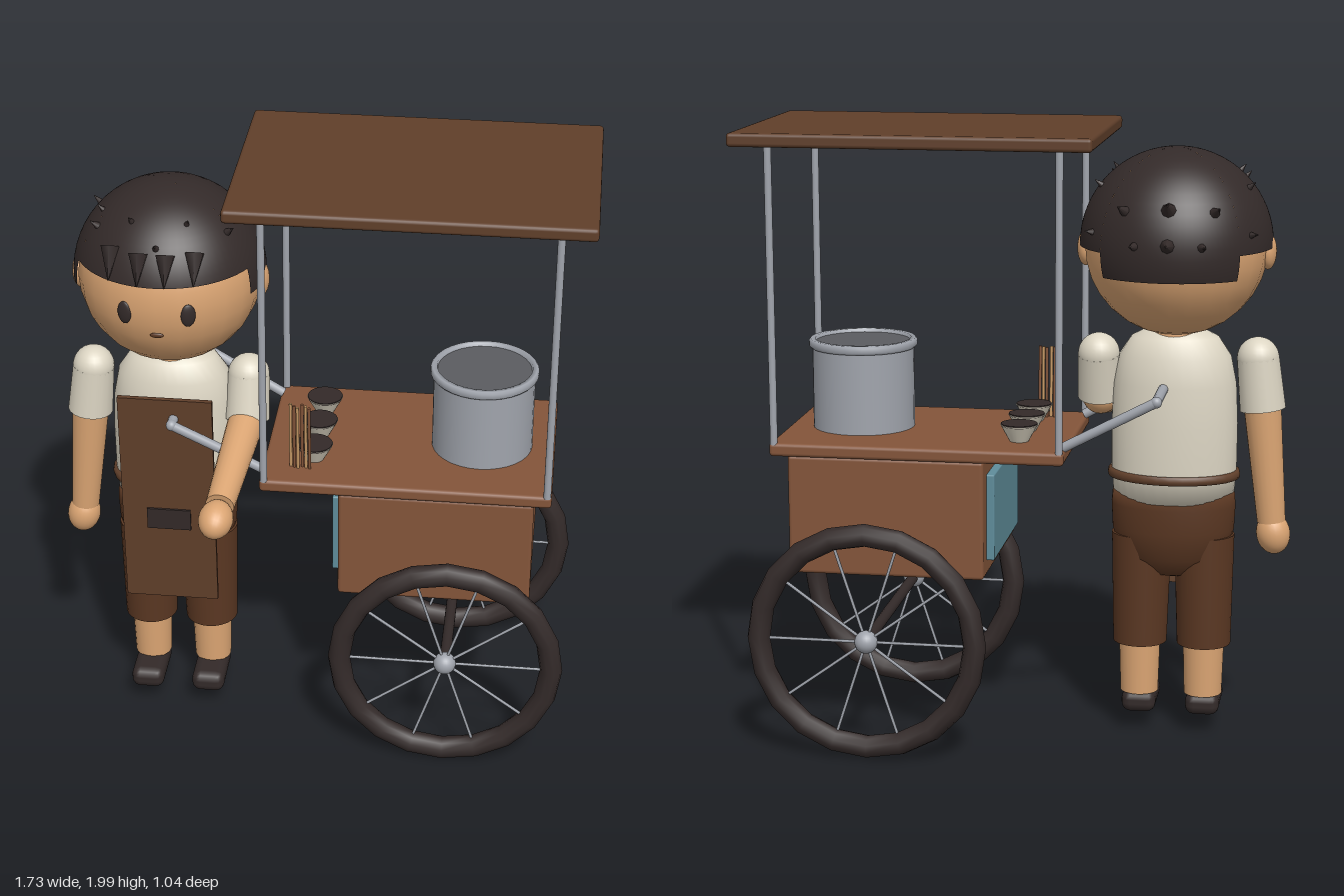
import * as THREE from 'three';
import { RoundedBoxGeometry } from 'three/addons/geometries/RoundedBoxGeometry.js';

const mat = (name, color, side = THREE.FrontSide) =>
  Object.assign(new THREE.MeshStandardMaterial({ color, side }), { name });
const V = (x, y, z) => new THREE.Vector3(x, y, z);

export function createModel() {
  const root = new THREE.Group();
  root.name = 'streetFoodCart';
  const M = {
    skin: mat('skin', 0xdba573),
    cream: mat('creamCloth', 0xdcd5c3),
    black: mat('softBlack', 0x332a29, THREE.DoubleSide),
    trousers: mat('darkBrownCloth', 0x5a3722),
    dark: mat('darkWood', 0x603f2a),
    wood: mat('warmWood', 0x84553a),
    metal: mat('steel', 0xa0a4ac),
    blue: mat('bluePanel', 0x5f8d9b),
    bamboo: mat('bamboo', 0xc79a66),
    broth: mat('broth', 0x5b5c60),
  };

  const add = (parent, name, geo, material, x = 0, y = 0, z = 0) => {
    const m = new THREE.Mesh(geo, material);
    m.name = name;
    m.position.set(x, y, z);
    parent.add(m);
    return m;
  };
  const group = (name, parent = root) => {
    const g = new THREE.Group();
    g.name = name;
    parent.add(g);
    return g;
  };
  // Box given by its limits
  const box = (parent, name, material, x0, x1, y0, y1, z0, z1, r = 0.012) =>
    add(parent, name, new RoundedBoxGeometry(x1 - x0, y1 - y0, z1 - z0, 2, r), material,
      (x0 + x1) / 2, (y0 + y1) / 2, (z0 + z1) / 2);
  // Tapered rod from a to b
  const rod = (parent, name, material, a, b, ra, rb = ra, sides = 16) => {
    const d = b.clone().sub(a);
    const m = add(parent, name, new THREE.CylinderGeometry(rb, ra, d.length(), sides), material);
    m.position.copy(a).addScaledVector(d, 0.5);
    m.quaternion.setFromUnitVectors(V(0, 1, 0), d.normalize());
    return m;
  };
  const ball = (parent, name, material, p, r, sx = 1, sy = 1, sz = 1) => {
    const m = add(parent, name, new THREE.SphereGeometry(r, 24, 16), material, p.x, p.y, p.z);
    m.scale.set(sx, sy, sz);
    return m;
  };
  const lathe = (parent, name, material, pts, x, z, depth = 1) => {
    const geo = new THREE.LatheGeometry(pts.map(p => new THREE.Vector2(...p)), 32);
    const m = add(parent, name, geo, material, x, 0, z);
    m.scale.z = depth;
    return m;
  };

  // ---- Cart body and roof ----
  const cart = group('cart');
  const zc = -0.105;
  box(cart, 'roof', M.dark, -0.27, 0.86, 1.957, 2.0, -0.49, 0.28);
  box(cart, 'countertop', M.wood, -0.175, 0.765, 0.973, 1.016, -0.42, 0.21);
  box(cart, 'cabinet', M.wood, 0.08, 0.71, 0.59, 0.975, -0.405, 0.2);
  box(cart, 'sidePanel', M.blue, 0.055, 0.09, 0.64, 0.92, -0.34, 0.13, 0.005);
  for (const x of [-0.16, 0.75])
    for (const z of [-0.408, 0.2]) rod(cart, 'roofPost', M.metal, V(x, 1.01, z), V(x, 1.965, z), 0.012);

  // U-shaped push handle
  const corner = s => V(-0.46, 1.18, zc + s * 0.275);
  for (const s of [-1, 1]) {
    rod(cart, 'handleArm', M.metal, V(-0.165, 1.02, zc + s * 0.25), corner(s), 0.016);
    ball(cart, 'handleCorner', M.metal, corner(s), 0.018);
  }
  rod(cart, 'handleBar', M.metal, corner(-1), corner(1), 0.016);

  // ---- Wheels ----
  const wx = 0.445, wy = 0.395;
  rod(cart, 'axle', M.black, V(wx, wy, -0.48), V(wx, wy, 0.28), 0.018);
  for (const z of [-0.48, 0.28]) {
    const wheel = group('wheel', cart);
    wheel.position.set(wx, wy, z);
    add(wheel, 'tyre', new THREE.TorusGeometry(0.35, 0.037, 10, 20), M.black);
    ball(wheel, 'hub', M.metal, V(0, 0, 0), 0.037);
    for (let i = 0; i < 10; i++) {
      const a = (i * Math.PI) / 5;
      rod(wheel, 'spoke', M.metal, V(0, 0, 0), V(0.335 * Math.cos(a), 0.335 * Math.sin(a), 0), 0.005, 0.005, 6);
    }
  }

  // ---- Things on the counter ----
  const pot = group('pot');
  pot.position.set(0.525, 0, zc);
  add(pot, 'potBody', new THREE.CylinderGeometry(0.165, 0.165, 0.265, 32), M.metal, 0, 1.148, 0);
  lathe(pot, 'potRim', M.metal,
    [[0.16, 1.278], [0.17, 1.278], [0.176, 1.285], [0.176, 1.3], [0.17, 1.307], [0.155, 1.307], [0.15, 1.28]], 0, 0);
  add(pot, 'potTop', new THREE.CylinderGeometry(0.153, 0.153, 0.008, 32), M.broth, 0, 1.292, 0);

  for (let i = 0; i < 3; i++) {
    const bowl = group('bowl');
    bowl.position.set(-0.012, 0, 0.05 - i * 0.155);
    add(bowl, 'bowlSide', new THREE.CylinderGeometry(0.06, 0.03, 0.055, 24), M.cream, 0, 1.043, 0);
    add(bowl, 'bowlFilling', new THREE.CylinderGeometry(0.058, 0.058, 0.008, 24), M.black, 0, 1.07, 0);
  }
  for (let i = 0; i < 6; i++) {
    const x = -0.083 + i * 0.0125, dz = (i % 3) * 0.011;
    rod(root, 'chopstick', i % 2 ? M.wood : M.bamboo, V(x, 1.012, 0.105 + dz * 0.5), V(x, 1.25, 0.11 + dz), 0.0055, 0.0055, 6);
  }

  // ---- Vendor: body and clothes ----
  const vendor = group('vendor');
  const cx = -0.485, cz = -0.045;
  lathe(vendor, 'shirt', M.cream,
    [[0.001, 0.79], [0.195, 0.8], [0.203, 0.9], [0.204, 1.05], [0.198, 1.18], [0.18, 1.27], [0.14, 1.33], [0.08, 1.36], [0.001, 1.365]],
    cx, cz, 0.68);
  lathe(vendor, 'apronTie', M.dark,
    [[0.2, 0.868], [0.212, 0.87], [0.215, 0.882], [0.212, 0.895], [0.2, 0.897]], cx, cz, 0.72);
  add(vendor, 'neck', new THREE.CylinderGeometry(0.075, 0.085, 0.08, 24), M.skin, cx, 1.36, cz);
  lathe(vendor, 'hips', M.trousers,
    [[0.001, 0.53], [0.1, 0.55], [0.175, 0.61], [0.198, 0.7], [0.202, 0.78], [0.198, 0.825], [0.001, 0.826]], cx, cz, 0.66);

  const apron = group('apron', vendor);
  apron.position.set(cx - 0.003, 0.86, 0.112);
  apron.rotation.x = 0.035;
  add(apron, 'apronCloth', new THREE.BoxGeometry(0.308, 0.78, 0.016), M.dark);
  add(apron, 'apronPocket', new THREE.BoxGeometry(0.145, 0.077, 0.008), M.black, 0, -0.07, 0.011);

  for (const s of [-1, 1]) {
    const x = cx + s * 0.105;
    rod(vendor, 'trouserLeg', M.trousers, V(x, 0.31, cz), V(x - s * 0.003, 0.68, cz), 0.088, 0.098, 24);
    rod(vendor, 'shin', M.skin, V(x, 0.14, cz - 0.005), V(x, 0.34, cz - 0.005), 0.062, 0.068, 24);
    box(vendor, 'shoe', M.black, x - 0.056, x + 0.056, 0.07, 0.144, -0.1, 0.105, 0.03);
  }

  // ---- Arms ----
  const arm = (name, shoulder, elbow, wrist, hand) => {
    const g = group(name, vendor);
    ball(g, 'shoulder', M.cream, shoulder, 0.068);
    rod(g, 'sleeve', M.cream, shoulder, elbow, 0.068, 0.074, 20);
    ball(g, 'elbow', M.skin, elbow, 0.06);
    rod(g, 'forearm', M.skin, elbow, wrist, 0.06, 0.046, 20);
    const h = ball(g, 'hand', M.skin, hand, 0.055, 1, 1.25, 1);
    h.quaternion.setFromUnitVectors(V(0, 1, 0), hand.clone().sub(wrist).normalize());
  };
  arm('rightArm', V(-0.75, 1.265, cz), V(-0.768, 1.1, cz), V(-0.803, 0.73, cz), V(-0.81, 0.69, cz));
  arm('leftArm', V(-0.238, 1.265, cz), V(-0.24, 1.12, -0.01), V(-0.272, 1.035, 0.4), V(-0.277, 1.018, 0.455));

  // ---- Head ----
  const head = group('head', vendor);
  head.position.set(cx, 1.63, -0.05);
  ball(head, 'face', M.skin, V(0, 0, 0), 0.293);
  for (const s of [-1, 1]) {
    ball(head, 'ear', M.skin, V(s * 0.29, -0.02, 0), 0.055, 0.5, 1.05, 0.85);
    const eye = ball(head, 'eye', M.black, V(s * 0.1, -0.02, 0.272), 0.038, 0.62, 1, 0.25);
    eye.rotation.y = s * 0.35;
  }
  ball(head, 'mouth', M.trousers, V(0, -0.093, 0.277), 0.022, 1, 0.4, 0.25);

  // Hair shell: lower edge steps down from front to sides to back
  const R = 0.307, rad = Math.PI / 180;
  const cap = (from, span, yEdge) => add(head, 'hair',
    new THREE.SphereGeometry(R, 24, 16, from * rad, span * rad, 0, Math.acos(yEdge / R)), M.black);
  cap(26, 128, 0.08);
  cap(154, 71, -0.005);
  cap(225, 90, -0.085);
  cap(315, 71, -0.005);

  // Hair tufts: [azimuth from the front, elevation, size]
  const tuft = (az, el, k) => {
    const d = V(Math.sin(az * rad) * Math.cos(el * rad), Math.sin(el * rad), Math.cos(az * rad) * Math.cos(el * rad));
    rod(head, 'hairTuft', M.black, d.clone().multiplyScalar(R - 0.01), d.clone().multiplyScalar(R + 0.035 * k), 0.017 * k, 0.001, 8);
  };
  const tufts = [[27, 52, 0.7], [60, 40, 0.9], [72, 48, 0.7], [107, 38, 0.8], [125, 10, 0.8], [150, 25, 1.2], [160, 5, 1]];
  for (const [az, el, k] of tufts) for (const s of [-1, 1]) tuft(s * az, el, k);
  tuft(180, 27, 1.6);
  tuft(180, 6, 1.5);
  tuft(0, 38, 0.8);

  // Pointed fringe locks hanging over the forehead
  for (const x of [-0.145, -0.052, 0.032, 0.118]) {
    const z = y => Math.sqrt(R * R - x * x - y * y);
    rod(head, 'fringeLock', M.black, V(x, 0.175, z(0.175) + 0.005), V(x * 1.02, 0.085, z(0.085) + 0.012), 0.033, 0.001, 6);
  }
  return root;
}
